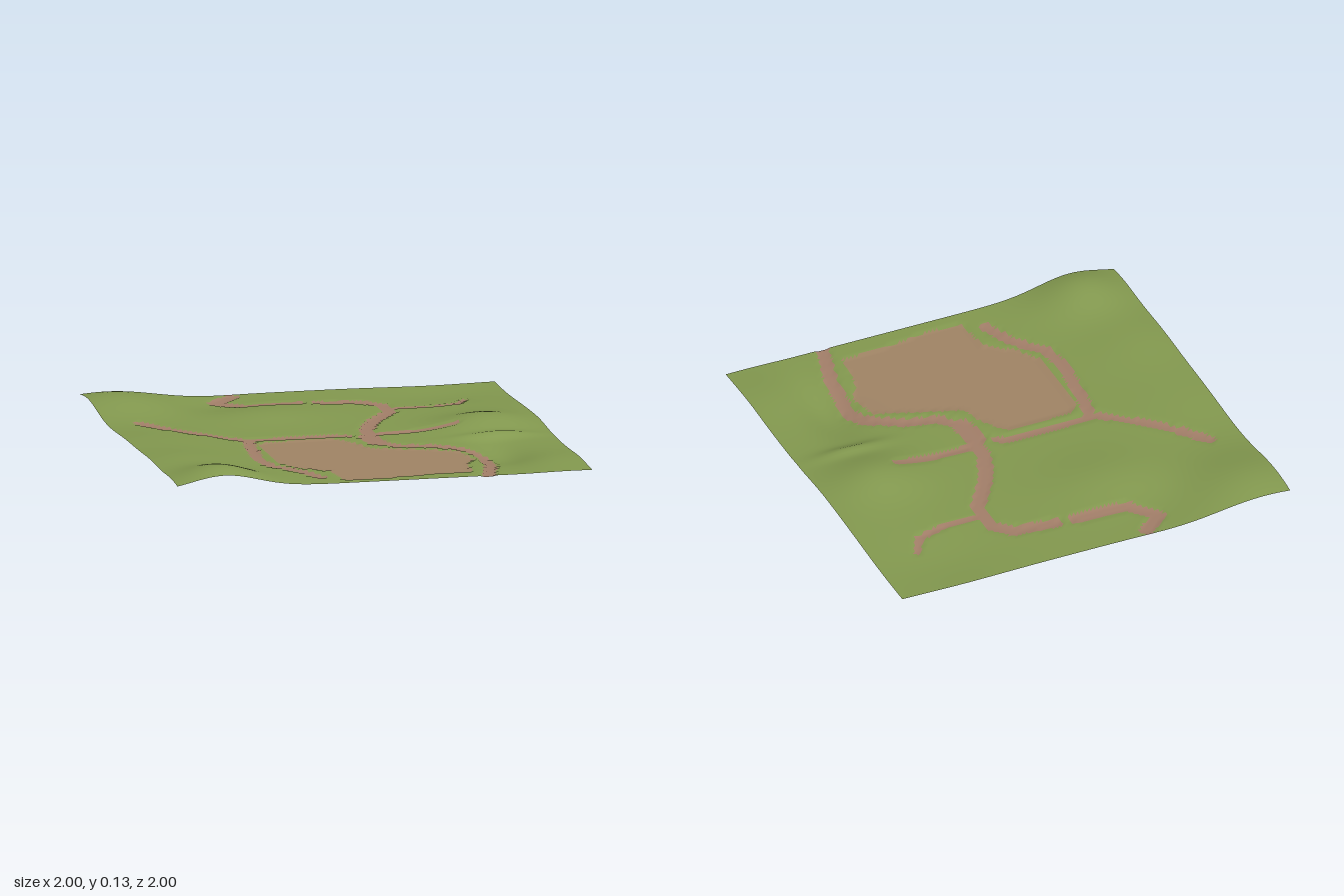
import * as THREE from 'three';

const SEGMENTS = 100;
const BASE = 0.036;

// Dirt trails: half-width, then centreline points [x, z]
const trails = [
  [0.036, [-0.28, -0.96], [-0.38, -0.87], [-0.28, -0.75], [-0.01, -0.745]],
  [0.036, [0.09, -0.735], [0.3, -0.71], [0.37, -0.63], [0.37, -0.47], [0.23, -0.26], [0.17, -0.1], [0.15, 0.17]],
  [0.05, [0.15, 0.04], [0.16, 0.17]],
  [0.02, [0.38, -0.54], [0.58, -0.54], [0.72, -0.58], [0.77, -0.67]],
  [0.032, [-0.84, -0.43], [-0.75, -0.31]],
  [0.025, [-0.76, -0.32], [-0.64, -0.19], [-0.45, -0.02], [0.02, -0.025], [0.06, 0.0]],
  [0.025, [0.17, -0.01], [0.58, -0.02]],
  [0.03, [-0.42, 0], [-0.44, 0.1], [-0.47, 0.4], [-0.45, 0.55], [-0.33, 0.7], [-0.27, 0.85]],
  [0.032, [0.16, 0.16], [0.24, 0.26], [0.4, 0.3], [0.55, 0.4], [0.59, 0.5], [0.57, 0.75], [0.5, 1]],
];

// Outline of the bare clearing
const clearing = [
  [-0.35, 0.05], [-0.02, 0.04], [0.06, 0.15], [0.1, 0.28], [0.3, 0.35], [0.5, 0.43],
  [0.53, 0.58], [0.47, 0.7], [0.45, 0.89], [0.2, 0.9], [0, 0.93], [-0.18, 0.92],
  [-0.2, 0.72], [-0.33, 0.62], [-0.4, 0.5], [-0.4, 0.1],
];

// Hills and hollows: x, z, height, spread in x, spread in z
const mounds = [
  [-0.77, 0.89, 0.083, 0.16, 0.15],
  [-0.86, 0.48, 0.04, 0.18, 0.2],
  [-0.9, 0.0, 0.025, 0.2, 0.25],
  [-0.87, -0.84, 0.062, 0.22, 0.2],
  [-0.25, -0.5, 0.024, 0.2, 0.16],
  [-0.45, -0.78, -0.018, 0.15, 0.15],
  [0.72, -0.06, 0.053, 0.16, 0.14],
  [0.72, 0.19, 0.022, 0.12, 0.03],
  [0.9, -0.3, 0.014, 0.2, 0.2],
  [0.68, 0.52, -0.04, 0.09, 0.17],
  [0.9, 0.75, 0.015, 0.14, 0.15],
  [0.68, -0.8, -0.014, 0.2, 0.15],
];

function segmentDistance(x, z, [ax, az], [bx, bz]) {
  const dx = bx - ax, dz = bz - az;
  const t = THREE.MathUtils.clamp(((x - ax) * dx + (z - az) * dz) / (dx * dx + dz * dz), 0, 1);
  return Math.hypot(x - ax - t * dx, z - az - t * dz);
}

function onTrail(x, z) {
  return trails.some(([width, ...points]) =>
    points.slice(1).some((p, i) => segmentDistance(x, z, points[i], p) < width));
}

function inClearing(x, z) {
  let inside = false;
  clearing.forEach(([ax, az], i) => {
    const [bx, bz] = clearing[(i + 1) % clearing.length];
    if ((az > z) !== (bz > z) && x < ax + ((z - az) / (bz - az)) * (bx - ax)) inside = !inside;
  });
  return inside;
}

function groundHeight(x, z) {
  let y = BASE;
  for (const [cx, cz, h, sx, sz] of mounds) {
    y += h * Math.exp(-0.5 * (((x - cx) / sx) ** 2 + ((z - cz) / sz) ** 2));
  }
  // trails and clearing are worn slightly into the ground
  if (onTrail(x, z) || inClearing(x, z)) y -= 0.005;
  return y;
}

export function createModel() {
  const grass = new THREE.MeshStandardMaterial({ color: 0x83994f, side: THREE.DoubleSide });
  const trail = new THREE.MeshStandardMaterial({ color: 0xa37f69, side: THREE.DoubleSide });
  const dirt = new THREE.MeshStandardMaterial({ color: 0xa08465, side: THREE.DoubleSide });
  grass.name = 'grass';
  trail.name = 'trail dirt';
  dirt.name = 'clearing dirt';

  // Rolling ground sheet
  const geometry = new THREE.PlaneGeometry(2, 2, SEGMENTS, SEGMENTS).rotateX(-Math.PI / 2);
  const pos = geometry.attributes.position;
  for (let i = 0; i < pos.count; i++) pos.setY(i, groundHeight(pos.getX(i), pos.getZ(i)));
  geometry.computeVertexNormals();

  // Sort the triangles by ground cover into one material group each
  const covers = [[], [], []];
  const index = geometry.index.array;
  for (let i = 0; i < index.length; i += 3) {
    const tri = [index[i], index[i + 1], index[i + 2]];
    const x = tri.reduce((s, v) => s + pos.getX(v), 0) / 3;
    const z = tri.reduce((s, v) => s + pos.getZ(v), 0) / 3;
    covers[inClearing(x, z) ? 2 : onTrail(x, z) ? 1 : 0].push(...tri);
  }
  geometry.setIndex(covers.flat());
  geometry.clearGroups();
  let start = 0;
  covers.forEach((list, i) => {
    geometry.addGroup(start, list.length, i);
    start += list.length;
  });

  // Rest the lowest hollow on y = 0
  geometry.computeBoundingBox();
  geometry.translate(0, -geometry.boundingBox.min.y, 0);

  const ground = new THREE.Mesh(geometry, [grass, trail, dirt]);
  ground.name = 'ground';
  const model = new THREE.Group();
  model.name = 'terrain';
  model.add(ground);
  return model;
}
